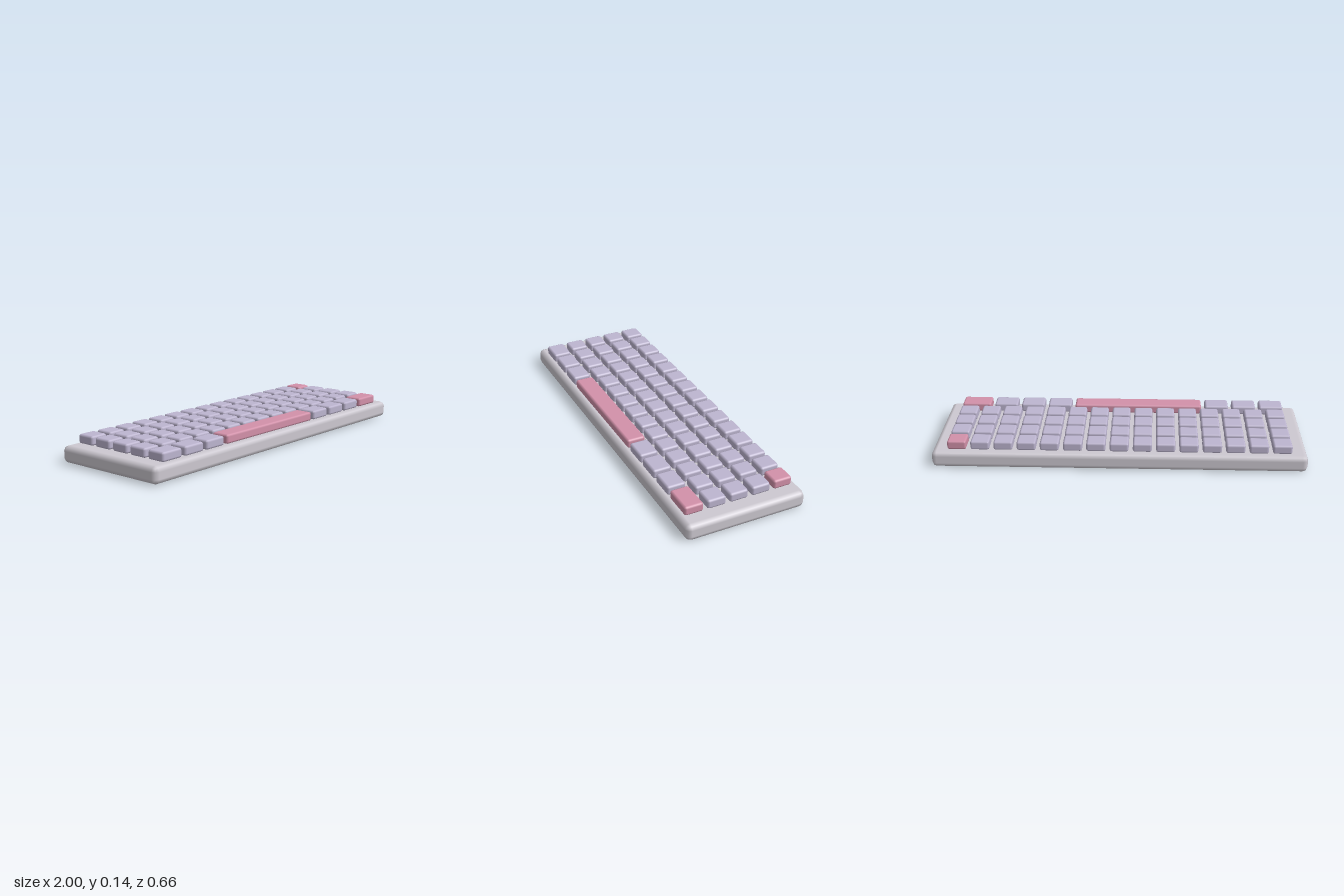
import * as THREE from 'three';
import { RoundedBoxGeometry } from 'three/addons/geometries/RoundedBoxGeometry.js';

const UNIT = 0.1237;  // pitch between keys
const GAP = 0.0217;   // space between neighbouring keys
const CASE_H = 0.092;
const KEY_H = 0.05;

export function createModel() {
  const keyboard = new THREE.Group();
  keyboard.name = 'keyboard';

  const caseMat = new THREE.MeshStandardMaterial({ color: 0xcdc9d1 });
  const keyMat = new THREE.MeshStandardMaterial({ color: 0xbdb5d0 });
  const accentMat = new THREE.MeshStandardMaterial({ color: 0xd391aa });

  // Case: a slab with rounded edges
  const body = new THREE.Mesh(new RoundedBoxGeometry(2, CASE_H, 0.66, 1, 0.028), caseMat);
  body.name = 'case';
  body.position.y = CASE_H / 2;
  keyboard.add(body);

  // Key rows, back to front; widths are in key units and add up to 15
  const plain = Array(15).fill(1);
  const rows = [plain, plain, plain, plain, [1.25, 1.25, 1.25, 6, 1.25, 1.25, 1.25, 1.5]];
  const geometries = new Map();

  const keyGeometry = (units) => {
    if (!geometries.has(units)) {
      geometries.set(units, new RoundedBoxGeometry(units * UNIT - GAP, KEY_H, UNIT - GAP, 1, 0.012));
    }
    return geometries.get(units);
  };

  rows.forEach((widths, r) => {
    const row = new THREE.Group();
    row.name = `keyRow${r + 1}`;
    row.position.set(0, CASE_H + KEY_H / 2, (r - 2) * UNIT + 0.002);
    let x = -7.5 * UNIT;
    widths.forEach((units, i) => {
      // Accents: space bar and the last key of the back and front rows
      const last = i === widths.length - 1;
      const accent = units === 6 || (last && (r === 0 || r === 4));
      const key = new THREE.Mesh(keyGeometry(units), accent ? accentMat : keyMat);
      key.name = units === 6 ? 'spaceBar' : accent ? 'accentKey' : 'key';
      key.position.x = x + (units * UNIT) / 2;
      x += units * UNIT;
      row.add(key);
    });
    keyboard.add(row);
  });

  return keyboard;
}
